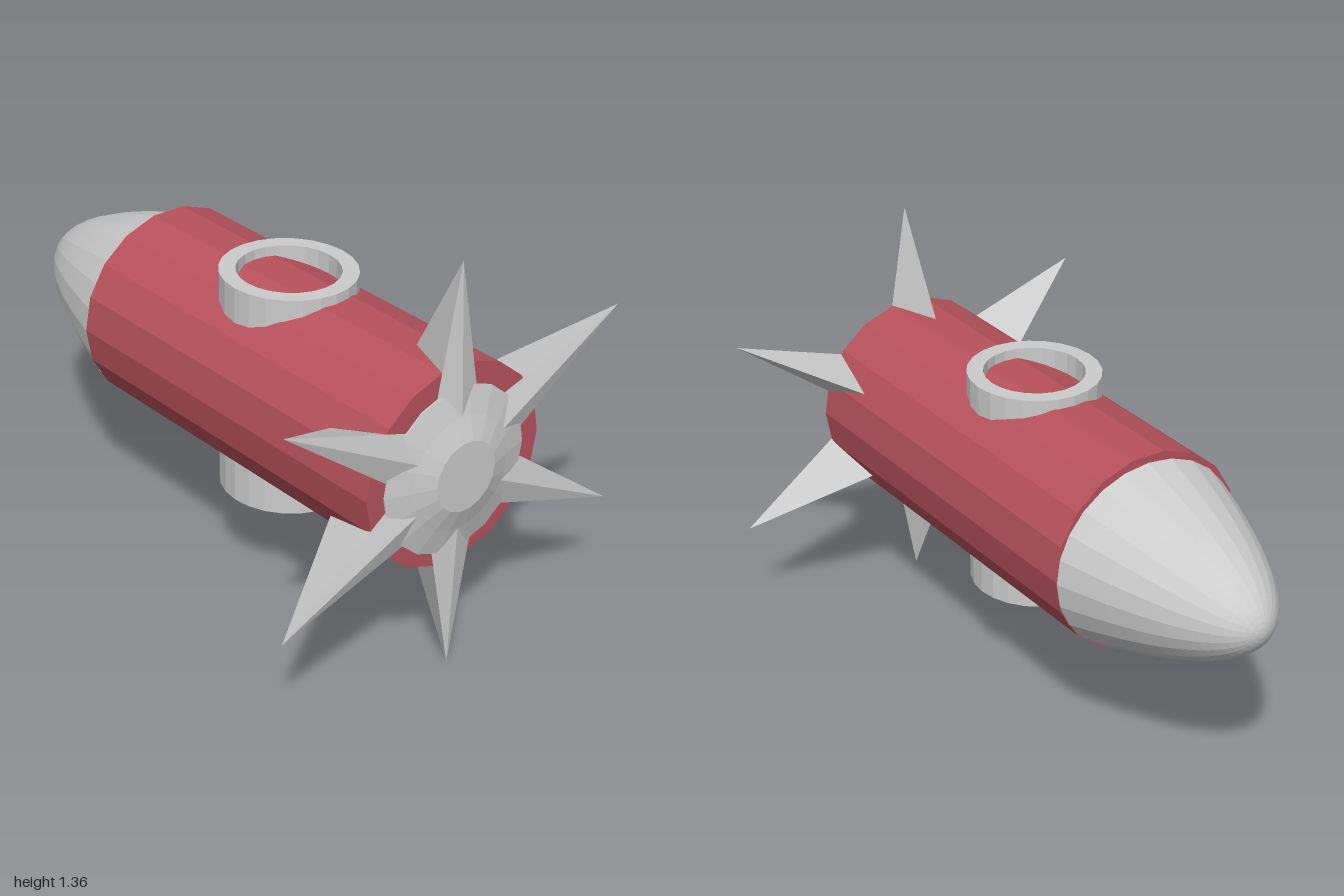
import * as THREE from 'three';

const grey = new THREE.MeshStandardMaterial({ color: 0xcccccc, flatShading: true });
const red = new THREE.MeshStandardMaterial({ color: 0xb8525c, flatShading: true });

function addMesh(parent, name, geometry, material) {
  const mesh = new THREE.Mesh(geometry, material);
  mesh.name = name;
  parent.add(mesh);
  return mesh;
}

// Surface of revolution about the x axis, from [x, radius] pairs in rising x
function latheX(profile, sides) {
  const points = profile.map(([x, r]) => new THREE.Vector2(r, x));
  return new THREE.LatheGeometry(points, sides).rotateZ(-Math.PI / 2);
}

// Four-sided spike pointing up; its forward ridge sweeps along the hull
function spikeGeometry(length) {
  const base = 0.15;
  const tip = [0.95, length, 0];
  const ring = [
    [0.975, base, 0],
    [0.945, base, 0.097],
    [0.95 - 0.53 * (length - base), base, 0],
    [0.945, base, -0.097],
  ];
  const positions = [];
  for (let i = 0; i < 4; i++) positions.push(...tip, ...ring[(i + 1) % 4], ...ring[i]);
  positions.push(...ring[0], ...ring[1], ...ring[2], ...ring[0], ...ring[2], ...ring[3]);
  const geometry = new THREE.BufferGeometry();
  geometry.setAttribute('position', new THREE.Float32BufferAttribute(positions, 3));
  geometry.computeVertexNormals();
  return geometry;
}

export function createModel() {
  const model = new THREE.Group();
  model.name = 'fuselage';
  const axisY = 0.69;

  // Faceted hull with closed ends, flat facet on top
  const hull = addMesh(model, 'hull',
    latheX([[-0.43, 0], [-0.43, 0.34], [0.945, 0.34], [0.945, 0]], 18), red);
  hull.scale.y = 0.975;
  hull.position.y = 0.7;

  // Parabolic nose
  const nose = [];
  for (let i = 0; i <= 18; i++) {
    const t = i / 18;
    nose.push([-1 + 0.57 * t * t, 0.335 * t]);
  }
  nose.push([-0.43, 0]);
  const cone = addMesh(model, 'noseCone', latheX(nose, 24), grey);
  cone.scale.y = 0.935;
  cone.position.y = axisY;

  // Vertical tube passing through the hull, showing as a collar above and below
  const [inner, outer, low, high] = [0.17, 0.225, 0.315, 1.06];
  const tube = [[inner, low], [outer, low], [outer, high], [inner, high], [inner, low]];
  const collar = addMesh(model, 'verticalTube',
    new THREE.LatheGeometry(tube.map(([r, y]) => new THREE.Vector2(r, y)), 24), grey);
  collar.scale.z = 0.95;
  collar.position.set(0.198, 0, 0.012);

  // Star-shaped tail: domed hub and six spikes
  const tail = new THREE.Group();
  tail.name = 'tailStar';
  tail.position.y = axisY - 0.004;
  model.add(tail);
  addMesh(tail, 'tailHub',
    latheX([[0.935, 0], [0.935, 0.275], [0.95, 0.275], [0.974, 0.19], [1, 0.115], [1, 0]], 18), grey);
  const sideAngle = THREE.MathUtils.degToRad(62.6);
  for (const up of [0, Math.PI]) {
    for (const side of [-1, 0, 1]) {
      const spike = addMesh(tail, 'tailSpike', spikeGeometry(side ? 0.737 : 0.682), grey);
      spike.rotation.x = up + side * sideAngle;
    }
  }
  return model;
}
